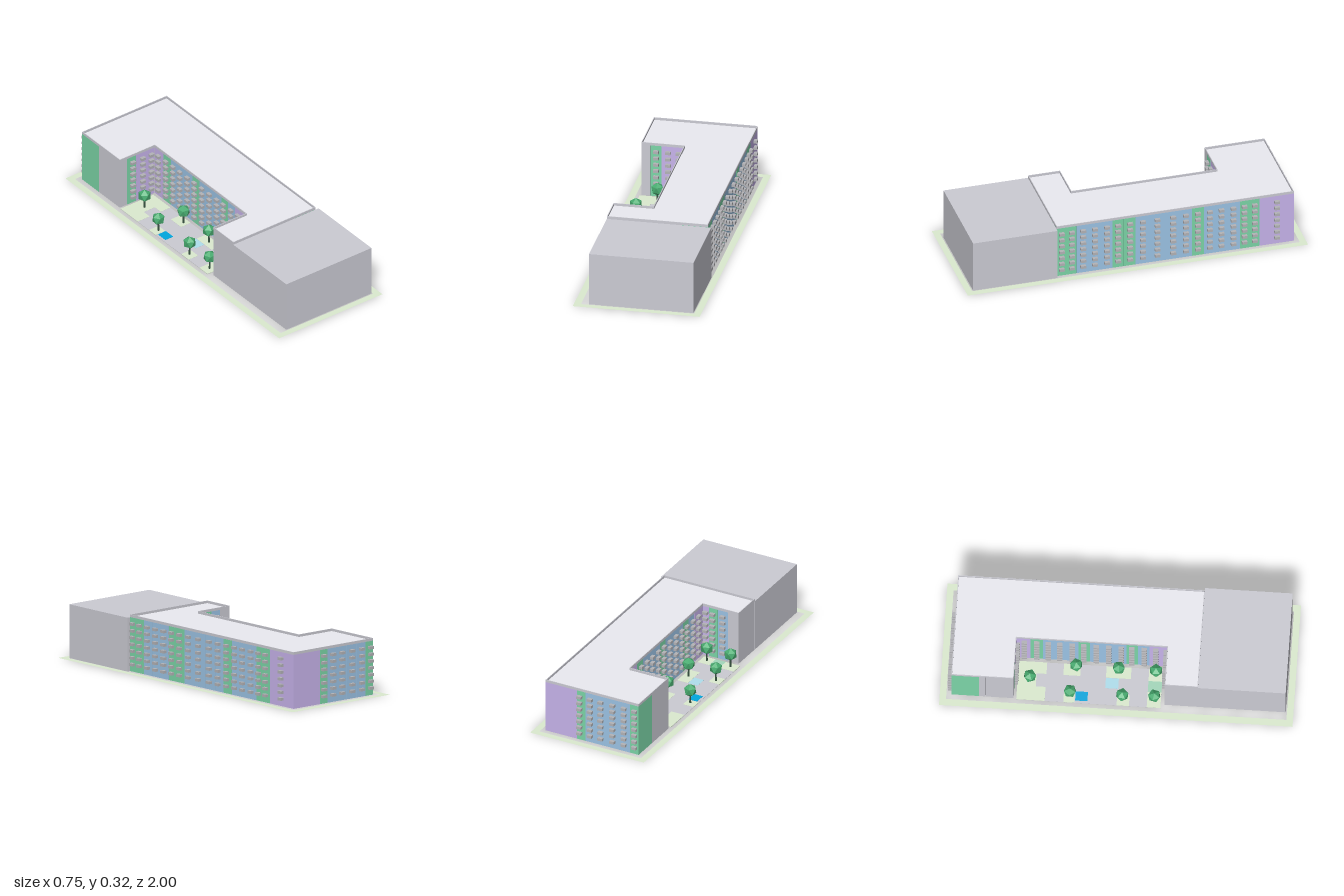
import * as THREE from 'three';
import { mergeGeometries } from 'three/addons/utils/BufferGeometryUtils.js';

const mat = (color, side = THREE.FrontSide) =>
  new THREE.MeshStandardMaterial({ color, side, flatShading: true });
const open = (color) => mat(color, THREE.DoubleSide);
const M = {
  grey: open(0xccccd4), roof: open(0xececf2), slab: mat(0xb4b4b8),
  green: open(0x7cd6a8), blue: open(0x9cc4e6), purple: open(0xc8b4ec),
  lawn: open(0xdcecd0), pool: mat(0x00a8e0), water: mat(0xb0e0ee), teal: mat(0xa4d8bc),
  leaf: mat(0x48ac70), trunk: mat(0x35503f),
};
const WALL = 0.31, FLOORS = 8, STOREY = WALL / FLOORS, BACK = -0.931;

// Box between two corners
function boxGeo(x0, x1, y0, y1, z0, z1) {
  return new THREE.BoxGeometry(x1 - x0, y1 - y0, z1 - z0)
    .translate((x0 + x1) / 2, (y0 + y1) / 2, (z0 + z1) / 2);
}
// The four walls only, open at top and bottom, a hair apart from the neighbours
function wallGeo(x0, x1, z0, z1) {
  const e = 0.0003;
  const g = boxGeo(x0 + e, x1 - e, 0, WALL, z0 + e, z1 - e);
  const i = Array.from(g.index.array);
  g.setIndex([...i.slice(0, 12), ...i.slice(24)]);
  g.clearGroups();
  return g;
}
function add(parent, name, geo, material) {
  const m = new THREE.Mesh(geo, material);
  m.name = name;
  parent.add(m);
  return m;
}
// Ground-plan outline as a counter-clockwise path
const flat = (pts) => pts.map(([x, z]) => new THREE.Vector2(x, -z)).reverse();
const rect = (x, z) => [[-x, -z], [x, -z], [x, z], [-x, z]];
function ringShape(outer, inner) {
  const s = new THREE.Shape(flat(outer));
  s.holes.push(new THREE.Path(flat(inner)));
  return s;
}
// Roof outline of the C-shaped block, moved inwards by t
const outline = (t) => [
  [-0.296 + t, BACK + t], [0.3 - t, BACK + t], [0.3 - t, 0.458 - t], [-0.28 + t, 0.458 - t],
  [-0.28 + t, 0.27 + t], [-0.05 + t, 0.27 + t], [-0.05 + t, -0.58 - t], [-0.296 + t, -0.58 - t],
];

export function createModel() {
  const root = new THREE.Group();
  root.name = 'apartmentBlock';
  const site = new THREE.Group();
  site.name = 'site';
  site.rotation.y = 0.012;
  root.add(site);

  const border = new THREE.ShapeGeometry(ringShape(rect(0.364, 0.996), rect(0.325, 0.959)));
  add(site, 'lawnBorder', border.rotateX(-Math.PI / 2), M.lawn);
  add(site, 'frontHall', boxGeo(-0.28, 0.32, 0, WALL - 0.001, 0.458, 0.952), M.grey);

  // Apartment stacks: [colour, x0, x1, z0, z1]
  const units = [];
  const zRow = (x0, x1, start, bays) => {
    let z = start;
    for (const [c, end] of bays) { units.push([c, x0, x1, z, end]); z = end; }
  };
  const xRow = (z0, z1, start, bays) => {
    let x = start;
    for (const [c, end] of bays) { units.push([c, x, end, z0, z1]); x = end; }
  };
  // outer row on the right side
  zRow(0.14, 0.3, -0.73, [
    ['green', -0.675], ['green', -0.615], ['blue', -0.545], ['blue', -0.475], ['blue', -0.405],
    ['green', -0.335], ['blue', -0.265], ['blue', -0.18], ['blue', -0.09], ['blue', -0.005],
    ['green', 0.065], ['green', 0.13], ['blue', 0.2], ['blue', 0.27], ['blue', 0.34],
    ['green', 0.4], ['green', 0.458]]);
  units.push(['purple', 0.1, 0.3, BACK, -0.73]);
  // outer row along the back
  xRow(BACK, -0.775, -0.296, [['green', -0.24], ['blue', -0.17], ['blue', -0.095],
    ['blue', -0.025], ['blue', 0.045], ['green', 0.1]]);
  // rows facing the courtyard
  zRow(-0.05, 0.11, -0.58, [
    ['purple', -0.5], ['green', -0.43], ['blue', -0.365], ['blue', -0.3], ['blue', -0.23],
    ['green', -0.165], ['blue', -0.095], ['blue', -0.025], ['blue', 0.04], ['green', 0.105],
    ['blue', 0.17], ['purple', 0.27]]);
  xRow(-0.74, -0.58, -0.296, [['grey', -0.245], ['green', -0.18], ['purple', -0.05]]);
  xRow(0.27, 0.43, -0.28, [['grey', -0.21], ['blue', -0.145], ['green', -0.09], ['purple', 0.11]]);
  // corridors between the rows
  units.push(['grey', -0.296, 0.1, -0.775, -0.74], ['grey', 0.11, 0.14, -0.73, 0.43],
    ['grey', -0.28, 0.14, 0.43, 0.458]);

  for (const c of ['grey', 'green', 'blue', 'purple']) {
    const walls = units.filter((u) => u[0] === c).map((u) => wallGeo(...u.slice(1)));
    add(site, c + 'Apartments', mergeGeometries(walls), M[c]);
  }

  // Roof surface and the low wall around it
  const roof = new THREE.ShapeGeometry(new THREE.Shape(flat(outline(0.001)))).rotateX(-Math.PI / 2);
  add(site, 'roof', roof, M.roof).position.y = WALL + 0.001;
  const parapet = new THREE.ExtrudeGeometry(ringShape(outline(0), outline(0.004)),
    { depth: 0.015, bevelEnabled: false }).rotateX(-Math.PI / 2);
  add(site, 'parapet', parapet, M.grey).position.y = WALL;

  // Balconies on every floor above the ground: centre x, z and half sizes
  const balconies = [];
  const balcony = (x, z, hx, hz) => {
    for (let f = 1; f < FLOORS; f++) {
      const y = f * STOREY - 0.004;
      balconies.push(boxGeo(x - hx, x + hx, y, y + 0.016, z - hz, z + hz));
    }
  };
  const W = 0.015, D = 0.01;
  for (const z of [-0.83, -0.7, -0.64, -0.575, -0.505, -0.437, -0.367, -0.297, -0.222, -0.13, -0.045,
    0.03, 0.1, 0.165, 0.235, 0.305, 0.37, 0.43]) balcony(0.3 + D, z, D, W);
  for (const x of [-0.272, -0.204, -0.131, -0.056, 0.012, 0.08]) balcony(x, BACK - D, W, D);
  for (const z of [-0.535, -0.465, -0.4, -0.335, -0.265, -0.2, -0.13, -0.06, 0.01, 0.07, 0.14, 0.205])
    balcony(-0.05 - D, z, D, W);
  for (const x of [-0.21, -0.14, -0.08]) balcony(x, -0.58 + D, W, D);
  for (const x of [-0.18, -0.115, -0.07]) balcony(x, 0.27 - D, W, D);
  add(site, 'balconies', mergeGeometries(balconies), M.slab);

  // Courtyard: paving with lawns and pools set through it
  add(site, 'courtyardPaving', boxGeo(-0.302, -0.072, 0.001, 0.003, -0.565, 0.247), M.grey);
  const patches = [
    ['lawn', -0.302, -0.072, -0.565, -0.46], ['lawn', -0.302, -0.218, -0.46, -0.405],
    ['lawn', -0.14, -0.072, -0.46, -0.405], ['lawn', -0.14, -0.072, -0.31, -0.215],
    ['lawn', -0.302, -0.235, -0.3, -0.238], ['lawn', -0.14, -0.072, -0.07, 0.07],
    ['lawn', -0.302, -0.235, 0.0, 0.07], ['lawn', -0.302, -0.21, 0.17, 0.247],
    ['lawn', -0.145, -0.072, 0.17, 0.247], ['pool', -0.288, -0.233, -0.234, -0.165],
    ['water', -0.203, -0.142, -0.07, 0.003], ['teal', -0.21, -0.145, 0.17, 0.247],
  ];
  for (const [c, x0, x1, z0, z1] of patches)
    add(site, c + 'Patch', boxGeo(x0, x1, 0, 0.004, z0, z1), M[c]);

  // Trees, each crown standing on a corner
  const trunk = new THREE.CylinderGeometry(0.004, 0.006, 0.065, 6).translate(0, 0.0325, 0);
  const crown = new THREE.IcosahedronGeometry(0.0385, 0).rotateX(-1.0172).translate(0, 0.081, 0);
  const spots = [[-0.186, -0.495], [-0.262, -0.265], [-0.104, -0.24], [-0.265, 0.03],
    [-0.106, 0], [-0.26, 0.21], [-0.108, 0.21]];
  spots.forEach(([x, z], i) => {
    const tree = new THREE.Group();
    tree.name = 'tree';
    add(tree, 'trunk', trunk, M.trunk);
    add(tree, 'crown', crown, M.leaf);
    tree.position.set(x, 0.003, z);
    tree.rotation.y = i * 0.9;
    site.add(tree);
  });
  return root;
}
